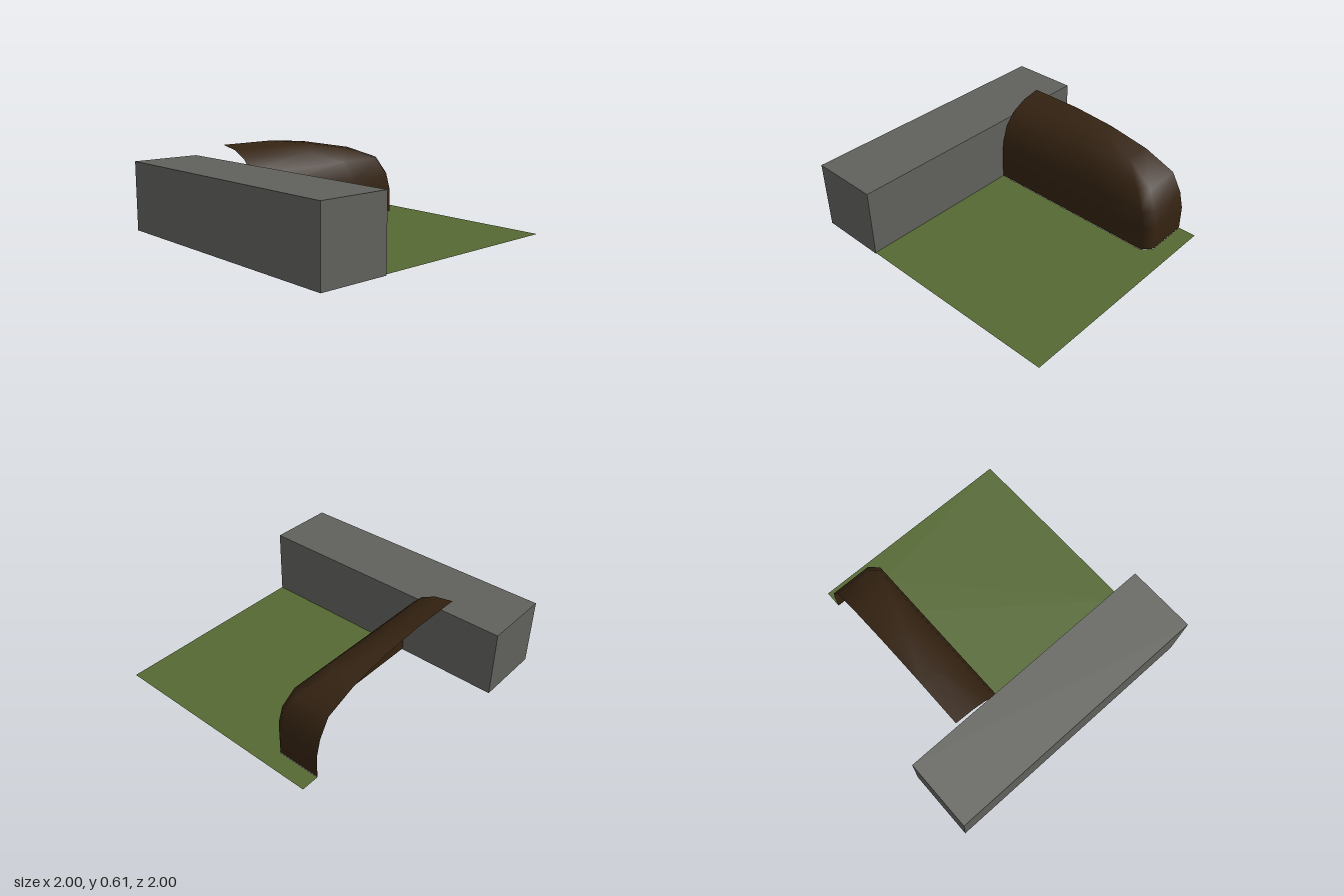
import * as THREE from 'three';

const BACK = -0.63, SIDE = -0.5;

// Rows of the shell from bottom to crest: height, end x, front z
const ROWS = [
  [0.01, 0.87, -0.25],
  [0.19, 0.87, -0.25],
  [0.31, 0.84, -0.258],
  [0.44, 0.765, -0.3],
  [0.53, 0.53, -0.38],
  [0.585, 0.22, -0.49],
  [0.61, -0.1, BACK],
];

// Outline of one row: along the front, round the corner, to the open back
function outline(xEnd, zFront) {
  const cut = Math.min(0.065, (zFront - BACK) * 0.5);
  return [
    [SIDE, zFront],
    [xEnd - 0.4, zFront],
    [xEnd - 0.06, zFront],
    [xEnd, zFront - cut],
    [xEnd, BACK],
  ];
}

function shellGeometry() {
  const positions = [], index = [];
  const n = 5;
  ROWS.forEach(([y, xEnd, zFront], i) => {
    outline(xEnd, zFront).forEach(([x, z], j) => {
      positions.push(Math.max(x, SIDE), y, z);
      if (i < ROWS.length - 1 && j < n - 1) {
        const a = i * n + j, b = a + 1, c = a + n, d = c + 1;
        index.push(a, b, d, a, d, c);
      }
    });
  });
  const geometry = new THREE.BufferGeometry();
  geometry.setAttribute('position', new THREE.Float32BufferAttribute(positions, 3));
  geometry.setIndex(index);
  geometry.computeVertexNormals();
  return geometry;
}

export function createModel() {
  const group = new THREE.Group();
  const grey = new THREE.MeshStandardMaterial({ color: 0x60605c });
  grey.name = 'stoneGrey';
  const green = new THREE.MeshStandardMaterial({ color: 0x556832, side: THREE.DoubleSide });
  green.name = 'grassGreen';
  const brown = new THREE.MeshStandardMaterial({ color: 0x332211, side: THREE.DoubleSide });
  brown.name = 'darkBrown';

  const add = (name, geometry, material) => {
    const mesh = new THREE.Mesh(geometry, material);
    mesh.name = name;
    group.add(mesh);
    return mesh;
  };

  // Long stone block along one side
  add('sideBlock', new THREE.BoxGeometry(0.5, 0.5, 2), grey).position.set(-0.75, 0.25, 0);

  // Flat ground that stops at the shell's footprint
  const ground = new THREE.Shape([
    [SIDE, 1], [1, 1], [1, BACK], ...outline(0.87, -0.25).reverse(),
  ].map(([x, z]) => new THREE.Vector2(x, -z)));
  const groundGeometry = new THREE.ShapeGeometry(ground).rotateX(-Math.PI / 2);
  add('ground', groundGeometry, green).position.y = 0.008;

  // Open curved shell
  add('curvedShell', shellGeometry(), brown);
  return group;
}
